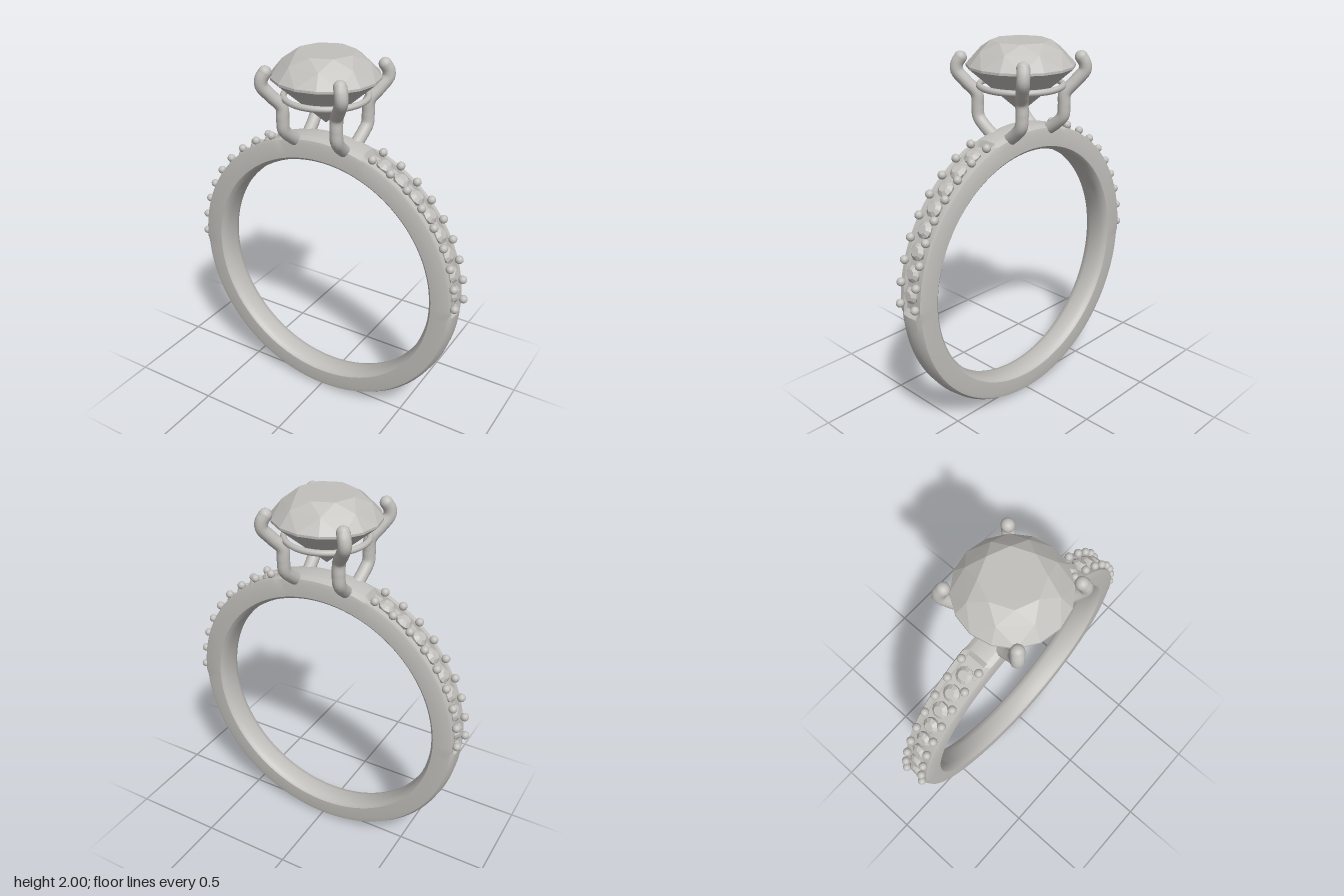
import * as THREE from 'three';
import { toCreasedNormals } from 'three/addons/utils/BufferGeometryUtils.js';
import { ConvexGeometry } from 'three/addons/geometries/ConvexGeometry.js';

const CENTRE_Y = 0.786;
const rad = THREE.MathUtils.degToRad;

// Outer half sections, [z fraction, plain radius, grooved radius]
const OUTER = [
  [-1, 0.745, 0.765], [-0.93, 0.768, 0.776], [-0.64, 0.782, 0.776], [-0.58, 0.783, 0.757], [0, 0.788, 0.757],
  [0.58, 0.783, 0.757], [0.64, 0.782, 0.776], [0.93, 0.768, 0.776], [1, 0.745, 0.765],
];
// Inner comfort-fit section, [z fraction, radius]
const INNER = [[1, 0.672], [0.85, 0.659], [0.45, 0.649], [-0.45, 0.649], [-0.85, 0.659], [-1, 0.672]];

// Band swept round the finger, grooved along both upper shoulders
function bandGeometry() {
  const steps = 180, count = OUTER.length + INNER.length;
  const pos = [], index = [];
  for (let i = 0; i < steps; i++) {
    const deg = i * 2, a = rad(deg);
    const grooved = (deg >= 0 && deg <= 70) || (deg >= 110 && deg <= 180);
    const w = 0.079 + 0.007 * Math.sin(a);
    const section = [...OUTER.map(([z, plain, cut]) => [z, grooved ? cut : plain]), ...INNER];
    for (const [z, r] of section) pos.push(r * Math.cos(a), r * Math.sin(a), z * w);
    for (let j = 0; j < count; j++) {
      const k = (j + 1) % count, n = (i + 1) % steps;
      const p = i * count + j, q = n * count + j, r = i * count + k, s = n * count + k;
      index.push(p, q, r, q, s, r);
    }
  }
  const g = new THREE.BufferGeometry();
  g.setAttribute('position', new THREE.Float32BufferAttribute(pos, 3));
  g.setIndex(index);
  return toCreasedNormals(g, rad(35));
}

// Round brilliant: table, crown points, thin girdle and culet
function brilliantGeometry() {
  const pts = [];
  const ring = (n, r, y, turn = 0) => {
    for (let i = 0; i < n; i++) {
      const a = (i + turn) / n * Math.PI * 2;
      pts.push(new THREE.Vector3(r * Math.cos(a), y, r * Math.sin(a)));
    }
  };
  ring(8, 0.15, 2.0);
  ring(8, 0.217, 1.955, 0.5);
  ring(16, 0.275, 1.885);
  ring(16, 0.275, 1.873);
  pts.push(new THREE.Vector3(0, 1.635, 0));
  return new ConvexGeometry(pts);
}

export function createModel() {
  const model = new THREE.Group();
  const silver = new THREE.MeshStandardMaterial({ color: 0xc2c0bc });
  silver.name = 'silverGrey';

  const add = (name, geometry, parent = model) => {
    const mesh = new THREE.Mesh(geometry, silver);
    mesh.name = name;
    parent.add(mesh);
    return mesh;
  };

  add('band', bandGeometry()).position.y = CENTRE_Y;
  add('centreStone', brilliantGeometry());

  // Wire gallery under the centre stone
  const gallery = add('galleryRing', new THREE.TorusGeometry(0.212, 0.016, 10, 64));
  gallery.rotation.x = Math.PI / 2;
  gallery.position.y = 1.778;

  // Four prongs holding the stone
  for (const sx of [-1, 1]) for (const sz of [-1, 1]) {
    const prong = new THREE.Group();
    prong.name = 'prong';
    model.add(prong);
    const path = [
      [0.143, 1.525, 0.05], [0.15, 1.575, 0.115], [0.155, 1.615, 0.15], [0.155, 1.67, 0.156],
      [0.158, 1.735, 0.158], [0.195, 1.795, 0.195], [0.225, 1.85, 0.228], [0.223, 1.885, 0.228], [0.21, 1.915, 0.215],
    ].map(([x, y, z]) => new THREE.Vector3(x * sx, y, z * sz));
    const curve = new THREE.CatmullRomCurve3(path);
    add('prongWire', new THREE.TubeGeometry(curve, 40, 0.033, 12), prong);
    for (const end of [path[0], path[path.length - 1]]) {
      add('prongTip', new THREE.SphereGeometry(0.033, 14, 10), prong).position.copy(end);
    }
  }

  // Small stones and the beads that grip them, on both shoulders
  const bead = new THREE.SphereGeometry(0.022, 14, 10);
  const crown = toCreasedNormals(new THREE.CylinderGeometry(0.025, 0.045, 0.018, 10), 0.1);
  const base = new THREE.CylinderGeometry(0.045, 0.04, 0.02, 10);
  const spacing = 8.15;
  for (const side of [-1, 1]) {
    const shoulder = new THREE.Group();
    shoulder.name = side > 0 ? 'leftShoulder' : 'rightShoulder';
    shoulder.position.y = CENTRE_Y;
    model.add(shoulder);
    const place = (mesh, deg, r, z) => {
      const a = rad(side > 0 ? deg : 180 - deg);
      mesh.position.set(r * Math.cos(a), r * Math.sin(a), z);
      mesh.rotation.z = a - Math.PI / 2;
    };
    for (let i = 0; i < 9; i++) {
      const deg = 2.5 + i * spacing;
      for (const z of [-0.056, 0.056]) place(add('bead', bead, shoulder), deg, 0.793, z);
      if (i === 8) continue;
      place(add('smallStone', crown, shoulder), deg + spacing / 2, 0.784, 0);
      place(add('smallStoneBase', base, shoulder), deg + spacing / 2, 0.765, 0);
    }
  }
  return model;
}
